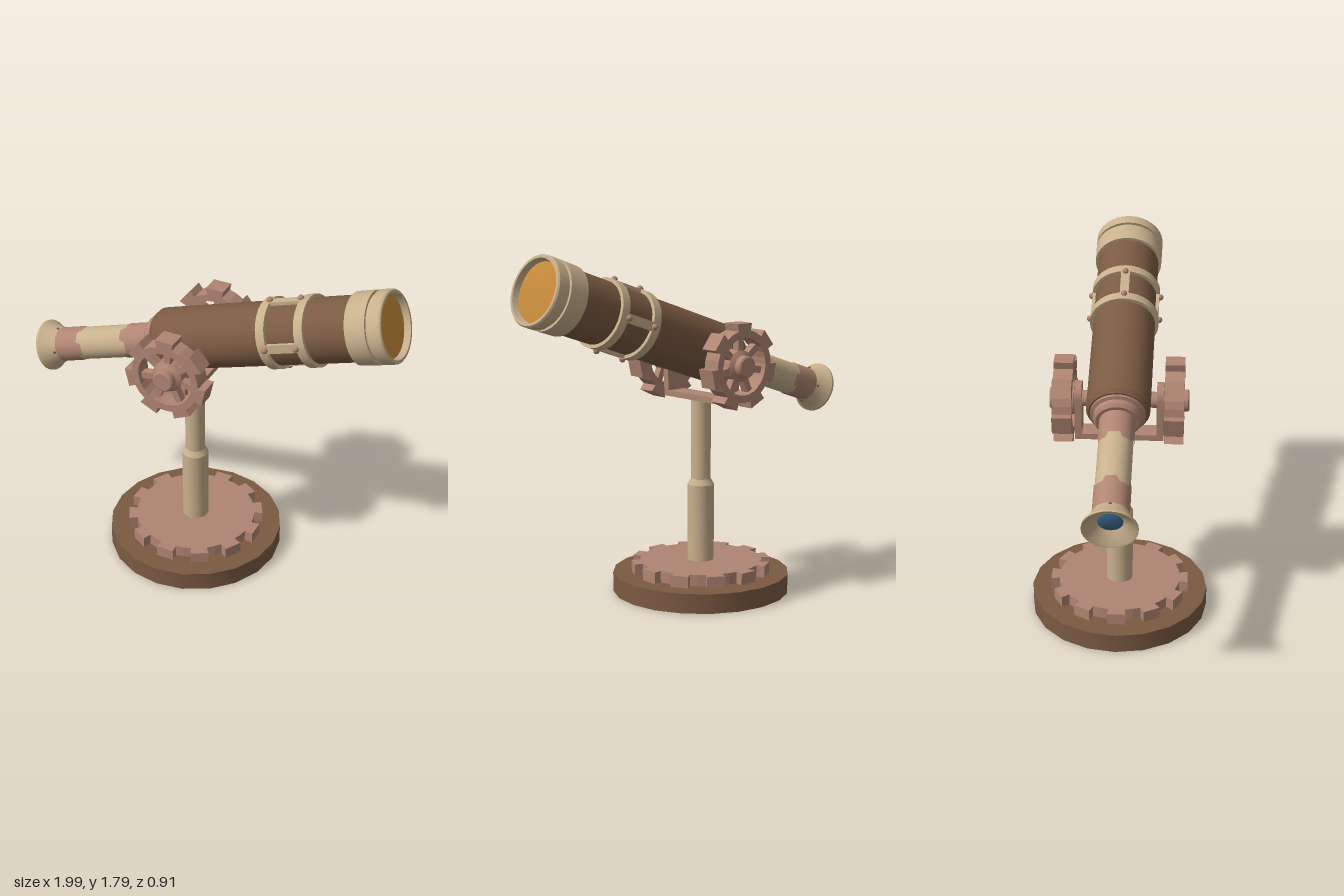
import * as THREE from 'three';
import { toCreasedNormals } from 'three/addons/utils/BufferGeometryUtils.js';

const mat = (name, color, side = THREE.FrontSide) => {
  const m = new THREE.MeshStandardMaterial({ color, side });
  m.name = name;
  return m;
};

export function createModel() {
  const wood = mat('brown leather', 0x7b5a42);
  const cream = mat('cream brass', 0xc8b08c);
  const copper = mat('copper', 0xb08572);
  const amber = mat('amber glass', 0xc88c3c);
  const blue = mat('blue glass', 0x3f6a94);

  const root = new THREE.Group();
  const px = -0.105, pivotY = 1.203;

  const add = (parent, name, geo, m, x = 0, y = 0, z = 0) => {
    const mesh = new THREE.Mesh(geo, m);
    mesh.name = name;
    mesh.position.set(x, y, z);
    parent.add(mesh);
    return mesh;
  };
  // Surface of revolution from [radius, height] pairs
  const lathe = (pts, seg = 32) => toCreasedNormals(
    new THREE.LatheGeometry(pts.map(p => new THREE.Vector2(...p)), seg), 0.5);

  // Toothed outline: each tooth widens slightly toward its tip
  const gearShape = (n, rootR, tipR, start) => {
    const s = new THREE.Shape();
    const step = Math.PI * 2 / n;
    for (let i = 0; i < n; i++) {
      const a = start + i * step;
      [[-0.5, rootR], [-0.25, rootR], [-0.25, tipR], [0.25, tipR], [0.25, rootR]].forEach(([f, r], k) => {
        const x = r * Math.cos(a + f * step), y = r * Math.sin(a + f * step);
        if (i + k === 0) s.moveTo(x, y); else s.lineTo(x, y);
      });
    }
    s.closePath();
    return s;
  };

  // Base, gear plate and post
  add(root, 'base', lathe([[0, 0], [0.457, 0], [0.457, 0.1], [0, 0.1]], 20), wood, px);
  const plate = new THREE.ExtrudeGeometry(gearShape(12, 0.315, 0.36, 0), { depth: 0.06, bevelEnabled: false });
  plate.rotateX(-Math.PI / 2);
  add(root, 'baseGear', plate, copper, px, 0.1);
  add(root, 'post', lathe([[0.068, 0.16], [0.068, 0.56], [0.051, 0.59], [0.051, 1.005]], 24), cream, px);

  // Yoke
  add(root, 'yokeBottom', new THREE.BoxGeometry(0.11, 0.03, 0.44), copper, px, 1.017);
  const arm = new THREE.Shape();
  arm.moveTo(-0.055, 0);
  arm.lineTo(0.055, 0);
  arm.lineTo(0.065, 0.2);
  arm.absarc(0, 0.225, 0.065, 0, Math.PI, false);
  arm.lineTo(-0.065, 0.2);
  for (const side of [-1, 1]) {
    add(root, 'yokeArm', new THREE.ExtrudeGeometry(arm, { depth: 0.035, bevelEnabled: false }),
      copper, px, 1.003, side * 0.2025 - 0.0175);
  }
  const axle = new THREE.CylinderGeometry(0.04, 0.04, 0.5, 20);
  axle.rotateX(Math.PI / 2);
  add(root, 'axle', axle, copper, px, pivotY);

  // Pair of toothed hand wheels
  for (const side of [-1, 1]) {
    const wheel = new THREE.Group();
    wheel.name = 'handWheel';
    wheel.position.set(px, pivotY, side * 0.272);
    root.add(wheel);
    const rim = gearShape(7, 0.182, 0.22, Math.PI / 2);
    const hole = new THREE.Path();
    hole.absarc(0, 0, 0.145, 0, Math.PI * 2, true);
    rim.holes.push(hole);
    add(wheel, 'wheelRim', new THREE.ExtrudeGeometry(rim, { depth: 0.095, bevelEnabled: false, curveSegments: 14 }),
      copper, 0, 0, -0.0475);
    for (let i = 0; i < 7; i++) {
      const a = Math.PI / 2 + i * Math.PI * 2 / 7;
      const spoke = add(wheel, 'spoke', new THREE.BoxGeometry(0.13, 0.034, 0.04), copper,
        0.095 * Math.cos(a), 0.095 * Math.sin(a));
      spoke.rotation.z = a;
    }
    const hub = lathe([[0, -0.05], [0.08, -0.05], [0.08, 0.02], [0.055, 0.035], [0.055, 0.066], [0.047, 0.072], [0, 0.072]], 24);
    hub.rotateX(side * Math.PI / 2);
    add(wheel, 'hub', hub, copper);
  }

  // Telescope, built along its own y from eyepiece to front lens
  const scope = new THREE.Group();
  scope.name = 'telescope';
  scope.position.set(-0.955, 0.975, 0);
  scope.rotation.z = -THREE.MathUtils.degToRad(71.1);
  root.add(scope);

  add(scope, 'eyepiece', lathe([[0, 0.05], [0.062, 0.05], [0.118, 0.004], [0.132, 0], [0.132, 0.012],
    [0.108, 0.045], [0.092, 0.08], [0.084, 0.1]]), cream);
  add(scope, 'eyepieceLens', lathe([[0, 0.036], [0.04, 0.04], [0.06, 0.047]], 24), blue);
  add(scope, 'drawTube', new THREE.CylinderGeometry(0.084, 0.084, 0.62, 32, 1, true), cream, 0, 0.39);

  // Copper sleeves with a notched edge
  const sleeve = (from, to, edge) => {
    const h = to - from;
    const g = new THREE.CylinderGeometry(0.088, 0.088, h, 48, 1, true);
    const p = g.attributes.position;
    for (let i = 0; i < p.count; i++) {
      const y = p.getY(i);
      if (y * edge > 0) {
        const a = Math.atan2(p.getX(i), p.getZ(i));
        p.setY(i, y + 0.014 * Math.sign(Math.cos(4 * a + 0.3)));
      }
    }
    add(scope, 'sleeve', g, copper, 0, (from + to) / 2);
  };
  sleeve(0.085, 0.24, 1);
  sleeve(0.515, 0.7, -1);

  add(scope, 'collar', lathe([[0.08, 0.665], [0.105, 0.665], [0.118, 0.68], [0.118, 0.705], [0.135, 0.71], [0.135, 0.74]]), copper);
  add(scope, 'barrel', lathe([[0.1, 0.722], [0.143, 0.722], [0.157, 0.745], [0.159, 1.84]]), wood);

  // Front cap with a groove and a hollow rim
  add(scope, 'frontCap', lathe([[0.155, 1.82], [0.174, 1.82], [0.176, 1.925], [0.163, 1.925], [0.163, 1.942],
    [0.176, 1.942], [0.176, 1.995], [0.17, 2.003], [0.157, 2.003], [0.148, 1.97]]), cream);
  add(scope, 'frontLens', lathe([[0.152, 1.972], [0.1, 1.979], [0, 1.983]]), amber);

  // Riveted strap cage
  for (const t of [1.374, 1.58]) {
    add(scope, 'band', lathe([[0.155, t - 0.023], [0.176, t - 0.023], [0.176, t + 0.023], [0.155, t + 0.023]]), cream);
  }
  for (let i = 0; i < 4; i++) {
    const quarter = new THREE.Group();
    quarter.name = 'strapGroup';
    quarter.rotation.y = i * Math.PI / 2;
    scope.add(quarter);
    add(quarter, 'strap', new THREE.BoxGeometry(0.045, 0.19, 0.02), cream, 0, 1.477, 0.163);
    for (const t of [1.387, 1.557]) {
      add(quarter, 'rivet', new THREE.SphereGeometry(0.016, 12, 8), copper, 0, t, 0.178);
    }
    add(quarter, 'eyepieceScrew', new THREE.SphereGeometry(0.008, 8, 6), wood, 0, 0.08, 0.09);
  }
  return root;
}
